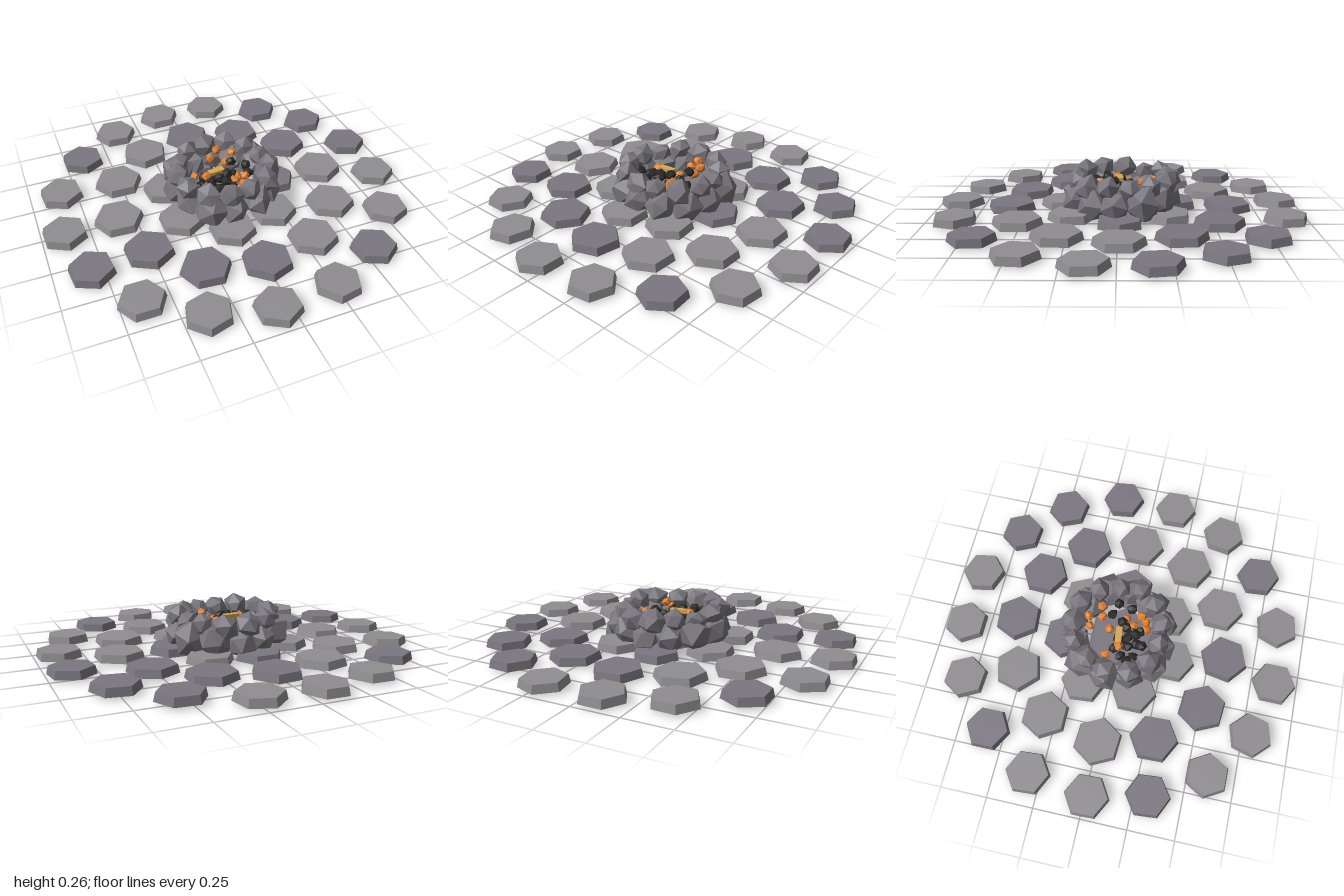
import * as THREE from 'three';
import { mergeVertices } from 'three/addons/utils/BufferGeometryUtils.js';

const mat = (color) => new THREE.MeshStandardMaterial({ color, flatShading: true });
const LIGHT = mat(0x8f8d90), DARK = mat(0x7b7781), ROCK = mat(0x77757b);
const COAL = mat(0x2c2b2a), EMBER = mat(0xe08030), ASH = mat(0xd8a850);

// Seeded random numbers in -1..1
let seed = 7;
const rnd = () => {
  seed = (seed * 16807) % 2147483647;
  return (seed / 2147483647) * 2 - 1;
};

// Faceted stone: an icosahedron with its corners pushed in and out
function rock(name, material, r, x, y, z) {
  const raw = new THREE.IcosahedronGeometry(r, 0);
  raw.deleteAttribute('uv');
  raw.deleteAttribute('normal');
  const geo = mergeVertices(raw, 1e-4);
  const p = geo.attributes.position;
  for (let i = 0; i < p.count; i++) {
    const k = 1 + rnd() * 0.16;
    p.setXYZ(i, p.getX(i) * k, p.getY(i) * k, p.getZ(i) * k);
  }
  geo.computeVertexNormals();
  const m = new THREE.Mesh(geo, material);
  m.name = name;
  m.position.set(x, y, z);
  m.rotation.set(rnd() * 3, rnd() * 3, rnd() * 3);
  return m;
}

// Hexagonal paving slab; deg turns one corner from +x towards +z
function slab(name, material, r, x, z, deg) {
  const m = new THREE.Mesh(new THREE.CylinderGeometry(r * 0.92, r, 0.042, 6), material);
  m.name = name;
  m.position.set(x, 0.041, z);
  m.rotation.set(rnd() * 0.02, THREE.MathUtils.degToRad(30 - deg), rnd() * 0.02);
  return m;
}

// Slab layouts: x, z, turn in degrees, dark?
const OUTER = [
  [-0.09, -0.88, 0, 0], [0.23, -0.87, 20, 0], [0.53, -0.72, 5, 1], [0.75, -0.49, 8, 1],
  [0.88, -0.18, 22, 1], [0.88, 0.14, 27, 0], [0.77, 0.45, 38, 0], [0.55, 0.69, 25, 1],
  [0.26, 0.84, 50, 0], [-0.07, 0.87, 30, 0], [-0.38, 0.79, 45, 0], [-0.64, 0.6, 0, 0],
  [-0.81, 0.32, 25, 1], [-0.88, 0.01, 28, 0], [-0.83, -0.32, 26, 0], [-0.65, -0.59, 30, 1],
  [-0.4, -0.79, 3, 0],
];
const MIDDLE = [
  [0, -0.6, -5, 1], [0.3, -0.52, 32, 1], [0.52, -0.31, 30, 1], [0.6, -0.01, 30, 0],
  [0.52, 0.29, 30, 0], [0.3, 0.51, 32, 0], [0.01, 0.58, 40, 1], [-0.29, 0.51, 5, 1],
  [-0.51, 0.29, 28, 1], [-0.59, 0, 4, 0], [-0.51, -0.31, 0, 0], [-0.29, -0.52, 45, 0],
];
const INNER = [
  [-0.05, -0.31, 0, 1], [0.2, -0.26, 5, 0], [0.31, -0.01, 0, 1], [0.2, 0.24, 25, 0],
  [-0.06, 0.3, 30, 0], [-0.28, 0.13, 30, 0], [-0.28, -0.15, 25, 0],
];

// Fire bed: x, z of the glowing and the burnt lumps
const EMBERS = [
  [0, -0.18], [0.04, -0.19], [0.11, -0.13], [0.07, -0.12], [-0.14, -0.06], [0.01, -0.07],
  [0.09, 0.01], [0.05, 0.06], [0.08, 0.12], [0.05, 0.13], [0.1, 0.09], [-0.09, 0],
];
const COALS = [
  [-0.13, 0.02], [-0.08, 0.05], [-0.03, 0.04], [0.02, 0.02], [-0.05, 0.09], [-0.1, -0.02],
  [0.03, 0.1], [0.08, -0.07], [0.16, -0.05], [0.14, 0.03], [-0.16, 0.06], [-0.04, -0.01],
  [-0.06, 0.12], [0.06, -0.01], [-0.01, 0.08], [-0.12, 0.09], [0.04, 0.05], [-0.07, 0.02],
];

export function createModel() {
  seed = 7;
  const model = new THREE.Group();
  model.name = 'firePit';
  const part = (name) => {
    const g = new THREE.Group();
    g.name = name;
    model.add(g);
    return g;
  };

  // Paving rings around a larger hearth slab
  const paving = part('paving');
  [['outerSlab', OUTER, 0.122], ['middleSlab', MIDDLE, 0.134], ['innerSlab', INNER, 0.128]]
    .forEach(([name, list, r]) => list.forEach(([x, z, deg, dark]) =>
      paving.add(slab(name, dark ? DARK : LIGHT, r, x, z, deg))));
  paving.add(slab('hearthSlab', DARK, 0.2, 0, 0, 0));

  // Two stacked courses of boulders
  const wall = part('stoneWall');
  const course = (name, count, ring, r, y, start) => {
    for (let i = 0; i < count; i++) {
      const a = start + (i / count) * Math.PI * 2;
      const d = ring + rnd() * 0.012;
      wall.add(rock(name, ROCK, r * (1 + rnd() * 0.1), Math.cos(a) * d + 0.01, y + rnd() * 0.01, Math.sin(a) * d - 0.02));
    }
  };
  course('lowerBoulder', 12, 0.25, 0.088, 0.105, 0.1);
  course('upperBoulder', 13, 0.245, 0.066, 0.19, 0.3);

  // Coals and embers
  const fire = part('fireBed');
  COALS.forEach(([x, z]) => fire.add(rock('coal', COAL, 0.03, x, 0.16 + rnd() * 0.025, z)));
  EMBERS.forEach(([x, z]) => fire.add(rock('ember', EMBER, 0.027, x, 0.165 + rnd() * 0.03, z)));

  // Pale splinter of wood on top
  const splinter = new THREE.Mesh(new THREE.BoxGeometry(0.09, 0.02, 0.035), ASH);
  splinter.name = 'splinter';
  splinter.position.set(-0.03, 0.185, -0.01);
  splinter.rotation.y = 0.1;
  fire.add(splinter);

  return model;
}
